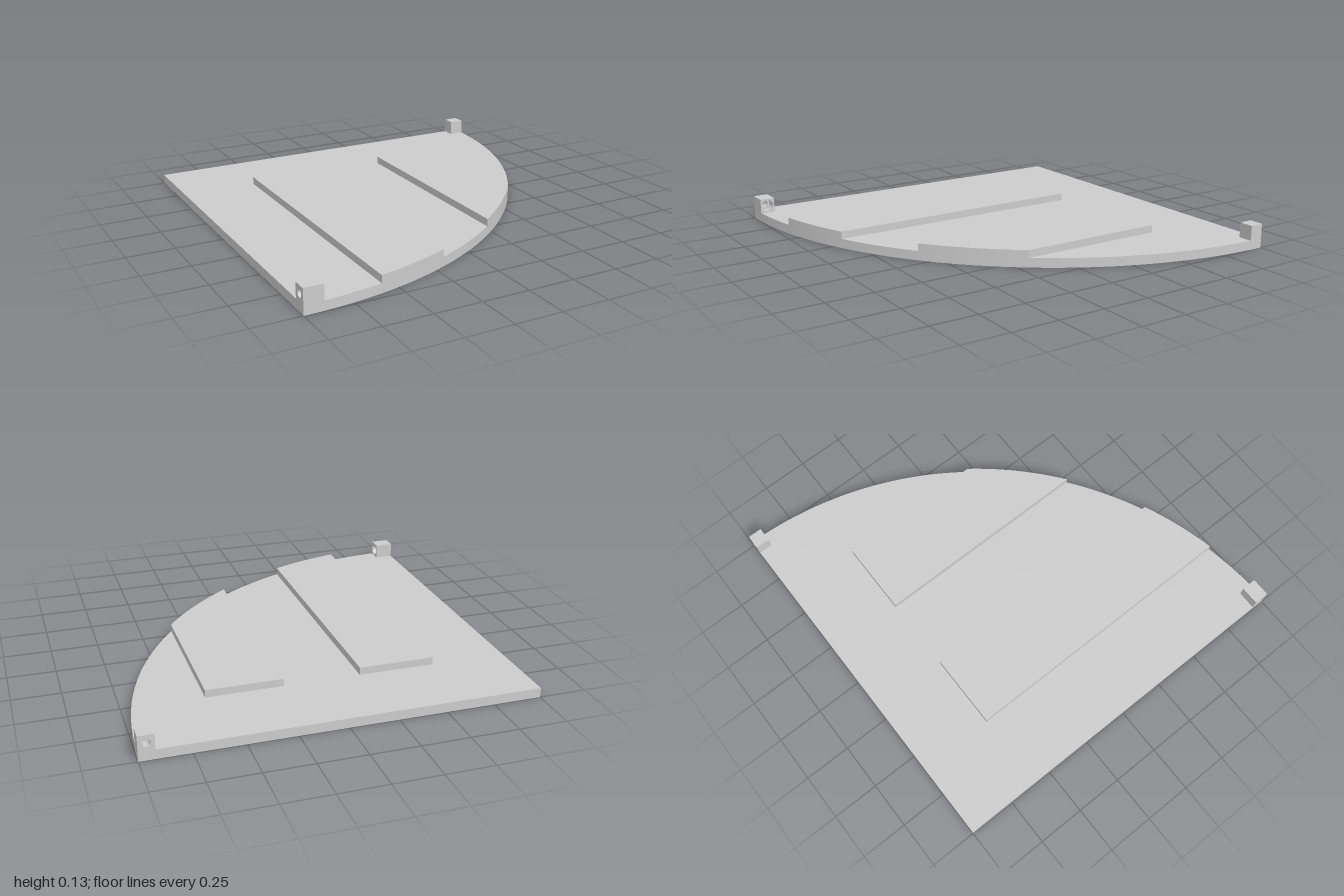
import * as THREE from 'three';

const R = 2; // radius of the quarter disc, centred on the back corner (-1, -1)

export function createModel() {
  const group = new THREE.Group();
  const material = new THREE.MeshStandardMaterial({ color: 0xcccccc });

  const add = (name, geometry) => {
    const mesh = new THREE.Mesh(geometry, material);
    mesh.name = name;
    group.add(mesh);
  };

  // Horizontal slab between x0 and x1, from zBack out to the arc
  const slab = (name, x0, x1, zBack, y0, y1) => {
    const angle = (x) => -Math.acos((x + 1) / R);
    const shape = new THREE.Shape();
    shape.moveTo(x0, -zBack);
    shape.lineTo(x1, -zBack);
    shape.absarc(-1, 1, R, angle(x1), angle(x0), true);
    shape.closePath();
    const geometry = new THREE.ExtrudeGeometry(shape, { depth: y1 - y0, bevelEnabled: false, curveSegments: 96 });
    add(name, geometry.rotateX(-Math.PI / 2).translate(0, y0, 0));
  };

  // Block with an optional round hole, extruded along z from the origin
  const block = (width, depth, holeRadius) => {
    const y0 = 0.05, y1 = 0.13;
    const shape = new THREE.Shape();
    shape.moveTo(-width / 2, y0);
    shape.lineTo(width / 2, y0);
    shape.lineTo(width / 2, y1);
    shape.lineTo(-width / 2, y1);
    shape.closePath();
    if (holeRadius) {
      const hole = new THREE.Path();
      hole.absarc(0, (y0 + y1) / 2, holeRadius, 0, Math.PI * 2, true);
      shape.holes.push(hole);
    }
    return new THREE.ExtrudeGeometry(shape, { depth, bevelEnabled: false, curveSegments: 24 });
  };

  slab('basePlate', -1, 1, -1, 0, 0.05);
  slab('longPad', -0.6, -0.2, -0.6, 0.05, 0.09);
  slab('shortPad', 0.2, 0.6, -0.6, 0.05, 0.09);

  // Front lug: hole right through along x, wider on the inner side
  const alongX = (geometry, x) => geometry.rotateY(Math.PI / 2).translate(x, 0, 0.96);
  add('frontLugOuter', alongX(block(0.08, 0.05, 0.02), -1));
  add('frontLugInner', alongX(block(0.08, 0.05, 0.032), -0.95));

  // Back lug: blind hole along z, open at the back
  add('backLugOuter', block(0.08, 0.05, 0.02).translate(0.96, 0, -1));
  add('backLugInner', block(0.08, 0.025, 0).translate(0.96, 0, -0.95));

  return group;
}
